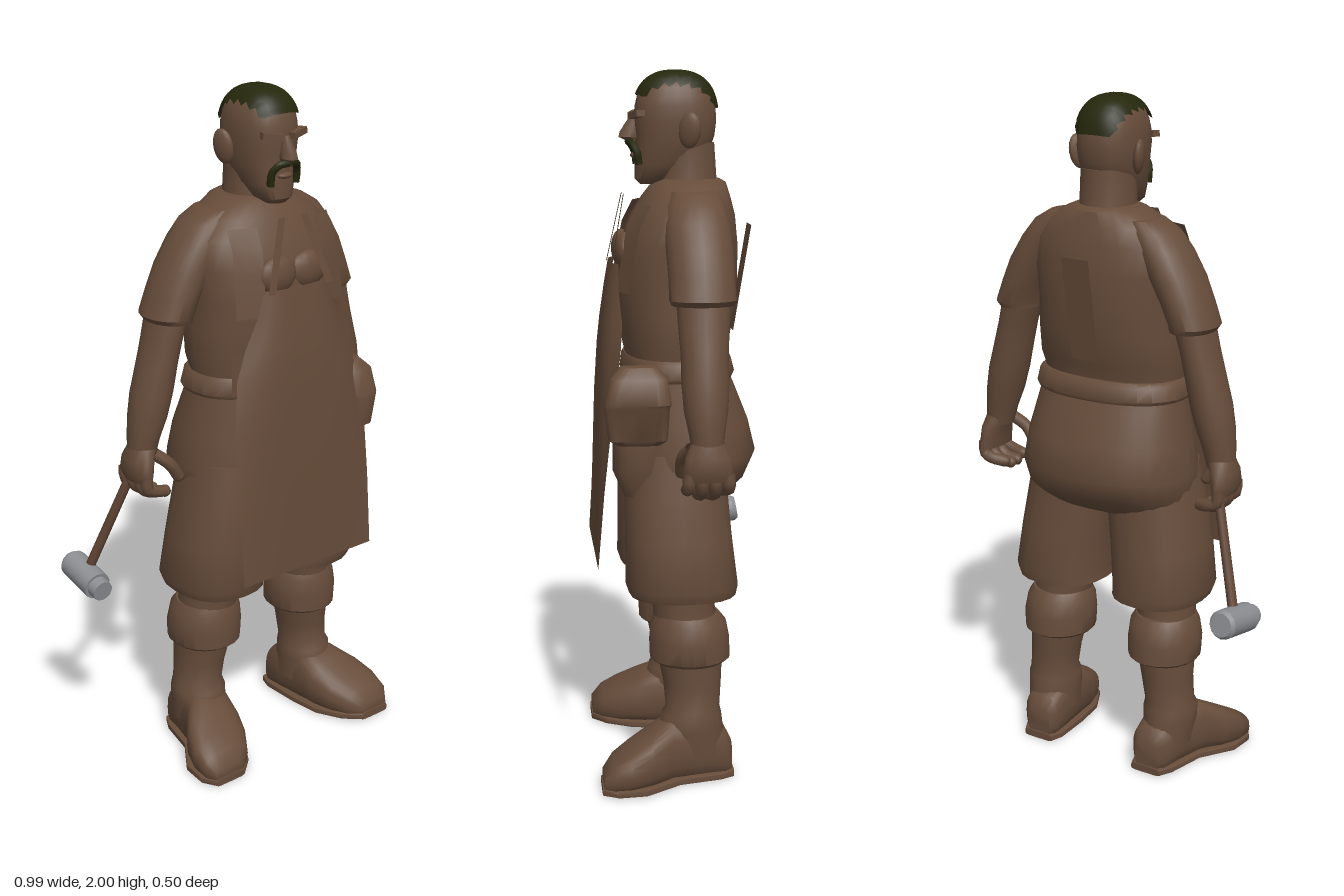
import * as THREE from 'three';
import { toCreasedNormals } from 'three/addons/utils/BufferGeometryUtils.js';

const material = (name, color) => {
  const m = new THREE.MeshStandardMaterial({ color, side: THREE.DoubleSide });
  m.name = name;
  return m;
};

export function createModel() {
  const brown = material('brown', 0x664c3a);
  const wood = material('handle wood', 0x5f4332);
  const steel = material('steel', 0x8c8e92);
  const hairColor = material('dark hair', 0x25270c);

  const root = new THREE.Group();
  const body = new THREE.Group();
  body.name = 'figure';
  body.position.x = 0.053;
  root.add(body);

  const add = (name, geometry, mat = brown, parent = body) => {
    const mesh = new THREE.Mesh(geometry, mat);
    mesh.name = name;
    parent.add(mesh);
    return mesh;
  };

  // Stacked cross-sections, bottom to top: [y, centre x, half width, back z, front z]
  const loft = (rings, { n = 20, p = 2, s = 1, crease = 0.75 } = {}) => {
    const pos = [], idx = [];
    const pow = v => Math.sign(v) * Math.abs(v) ** (2 / p);
    rings.forEach(([y, cx, rx, zb, zf]) => {
      for (let j = 0; j < n; j++) {
        const t = (j / n) * Math.PI * 2;
        pos.push(s * cx + rx * pow(Math.cos(t)), y, (zb + zf) / 2 + ((zf - zb) / 2) * pow(Math.sin(t)));
      }
    });
    for (let i = 0; i < rings.length - 1; i++) for (let j = 0; j < n; j++) {
      const a = i * n + j, b = i * n + (j + 1) % n, c = a + n, d = b + n;
      idx.push(a, c, b, b, c, d);
    }
    [0, rings.length - 1].forEach((r, end) => {
      const [y, cx, , zb, zf] = rings[r];
      const k = pos.length / 3;
      pos.push(s * cx, y, (zb + zf) / 2);
      for (let j = 0; j < n; j++) {
        const a = r * n + j, b = r * n + (j + 1) % n;
        if (end) idx.push(a, k, b); else idx.push(a, b, k);
      }
    });
    const g = new THREE.BufferGeometry();
    g.setAttribute('position', new THREE.Float32BufferAttribute(pos, 3));
    g.setIndex(idx);
    return toCreasedNormals(g, crease);
  };

  // Sheet from a rule (u, v in 0..1) -> [x, y, z]
  const sheet = (nu, nv, rule) => {
    const g = new THREE.PlaneGeometry(1, 1, nu, nv), q = g.attributes.position;
    for (let i = 0; i < q.count; i++) q.setXYZ(i, ...rule(q.getX(i) + 0.5, 0.5 - q.getY(i)));
    g.computeVertexNormals();
    return g;
  };

  const V = p => new THREE.Vector3(...p);
  const tube = (pts, r, n = 8) => new THREE.TubeGeometry(new THREE.CatmullRomCurve3(pts.map(V)), 8, r, n);
  const rod = (a, b, r0, r1, n = 14) => {
    const d = V(b).sub(V(a));
    const g = new THREE.CylinderGeometry(r1, r0, d.length(), n);
    g.applyQuaternion(new THREE.Quaternion().setFromUnitVectors(V([0, 1, 0]), d.clone().normalize()));
    return g.translate(...V(a).addScaledVector(d, 0.5).toArray());
  };

  // Shirt, waist and hip cloth
  add('shirt', loft([
    [1.1, 0, 0.215, -0.13, 0.14], [1.2, 0, 0.22, -0.125, 0.15], [1.25, 0, 0.23, -0.145, 0.16],
    [1.34, 0, 0.23, -0.16, 0.17], [1.42, 0, 0.225, -0.168, 0.175], [1.52, 0, 0.235, -0.168, 0.165],
    [1.6, 0, 0.23, -0.16, 0.13], [1.65, 0, 0.185, -0.148, 0.1], [1.69, 0, 0.115, -0.137, 0.07], [1.7, 0, 0.09, -0.12, 0.05],
  ], { n: 28, p: 2.3 }));
  add('hipCloth', loft([
    [0.81, 0, 0.24, -0.13, 0.16], [0.86, 0, 0.265, -0.19, 0.18], [0.93, 0, 0.268, -0.222, 0.185],
    [1.02, 0, 0.255, -0.2, 0.17], [1.12, 0, 0.235, -0.16, 0.16], [1.19, 0, 0.222, -0.13, 0.15],
  ], { n: 28, p: 2.3 }));
  add('belt', loft([
    [1.15, 0, 0.236, -0.155, 0.16], [1.16, 0, 0.242, -0.16, 0.165],
    [1.2, 0, 0.234, -0.15, 0.16], [1.21, 0, 0.224, -0.14, 0.155],
  ], { n: 28, p: 2.3 }));
  add('backStrap', sheet(1, 5, (u, v) => [-0.05 + 0.09 * u, 1.57 - 0.3 * v, -0.207 + 0.05 * v]));
  add('rightWaistFlap', sheet(1, 2, (u, v) => [-0.22 + 0.06 * u, 1.3 - 0.12 * v, 0.16]));

  // Belt pouches
  add('leftPouch', loft([
    [0.985, 0.235, 0.03, 0.07, 0.19], [1.0, 0.235, 0.045, 0.05, 0.215], [1.09, 0.235, 0.052, 0.045, 0.228],
    [1.1, 0.235, 0.058, 0.04, 0.225], [1.17, 0.23, 0.05, 0.05, 0.21], [1.2, 0.225, 0.025, 0.08, 0.18],
  ], { p: 4, n: 20 }));
  add('frontPouch', loft([
    [0.83, 0.17, 0.05, 0.08, 0.17], [0.9, 0.17, 0.08, 0.06, 0.2], [0.99, 0.18, 0.07, 0.06, 0.2],
  ], { p: 3 }));

  // Apron with its two neck straps
  const apronRows = [[1.47, -0.118, 0.112, 0.195, 0.02], [1.4, -0.14, 0.135, 0.207, 0.03], [1.31, -0.18, 0.175, 0.22, 0.05],
    [1.23, -0.215, 0.212, 0.228, 0.05], [1.08, -0.24, 0.24, 0.236, 0.035], [0.85, -0.243, 0.242, 0.242, 0.015], [0.63, -0.243, 0.242, 0.246, 0]];
  add('apron', sheet(12, 6, (u, v) => {
    const [y, a, b, z, bend] = apronRows[Math.round(v * 6)];
    return [a + (b - a) * u, y, z - bend * (2 * u - 1) ** 4];
  }));

  for (const s of [1, -1]) {
    const side = s > 0 ? 'left' : 'right';
    const L = (name, rings, o = {}) => add(side + name, loft(rings, { s, ...o }));
    add(side + 'ApronStrap', sheet(1, 4, (u, v) =>
      [s * (0.04 + 0.065 * v) + 0.026 * (u - 0.5), 1.66 - 0.2 * v, 0.155 + 0.04 * v]));
    add(side + 'VestPanel', sheet(2, 4, (u, v) =>
      [s * (0.1 + 0.08 * u + 0.015 * v), 1.635 - 0.24 * v, 0.12 + 0.06 * Math.sqrt(v) - 0.03 * u]));
    const chest = add(side + 'Pectoral', new THREE.SphereGeometry(1, 14, 10));
    chest.scale.set(0.065, 0.055, 0.03);
    chest.position.set(s * 0.055, 1.5, 0.155);

    // Sleeve and bare arm
    L('Sleeve', [
      [1.375, 0.29, 0.062, -0.125, 0.045], [1.39, 0.295, 0.068, -0.132, 0.052], [1.45, 0.27, 0.072, -0.13, 0.052],
      [1.52, 0.235, 0.078, -0.13, 0.055], [1.59, 0.195, 0.075, -0.125, 0.055], [1.64, 0.16, 0.07, -0.115, 0.045], [1.67, 0.13, 0.05, -0.1, 0.03],
    ]);
    L('Arm', [
      [0.99, 0.387, 0.04, -0.085, 0.0], [1.04, 0.38, 0.047, -0.09, 0.008], [1.1, 0.366, 0.056, -0.1, 0.02],
      [1.17, 0.35, 0.06, -0.105, 0.025], [1.25, 0.33, 0.057, -0.105, 0.025], [1.32, 0.312, 0.053, -0.11, 0.03], [1.42, 0.285, 0.056, -0.115, 0.035],
    ]);
    L('Palm', [
      [0.915, 0.402, 0.025, -0.105, 0.018], [0.94, 0.405, 0.032, -0.112, 0.026],
      [0.98, 0.4, 0.036, -0.105, 0.02], [1.02, 0.385, 0.04, -0.085, 0.002],
    ]);
    for (let i = 0; i < 4; i++) {
      const z = -0.098 + 0.036 * i, tip = 0.85 + 0.012 * Math.abs(i - 1.5);
      const end = [s * 0.345, tip + 0.012, z * 0.85];
      add(side + 'Finger', tube([[s * 0.408, 0.94, z], [s * 0.405, 0.9, z], [s * 0.38, tip + 0.02, z], end], 0.018));
      add(side + 'Fingertip', new THREE.SphereGeometry(0.018, 8, 6).translate(...end));
    }
    add(side + 'Thumb', tube([[s * 0.375, 1.0, 0.0], [s * 0.335, 0.965, 0.02], [s * 0.305, 0.92, 0.02]], 0.018));
    add(side + 'ThumbTip', new THREE.SphereGeometry(0.018, 8, 6).translate(s * 0.305, 0.92, 0.02));

    // Shorts, knee, boot cuff, shaft and shoe
    L('ShortsLeg', [
      [0.54, 0.168, 0.138, -0.15, 0.155], [0.57, 0.175, 0.142, -0.155, 0.165], [0.7, 0.16, 0.142, -0.14, 0.165],
      [0.82, 0.142, 0.14, -0.13, 0.165], [0.95, 0.125, 0.13, -0.12, 0.15],
    ], { p: 2.4 });
    L('Knee', [[0.44, 0.19, 0.088, -0.1, 0.085], [0.52, 0.182, 0.09, -0.085, 0.09], [0.6, 0.175, 0.1, -0.1, 0.1]]);
    L('BootCuff', [
      [0.345, 0.19, 0.098, -0.118, 0.085], [0.355, 0.19, 0.108, -0.132, 0.098], [0.41, 0.19, 0.111, -0.13, 0.1],
      [0.46, 0.188, 0.104, -0.12, 0.095], [0.485, 0.188, 0.09, -0.1, 0.085],
    ]);
    L('BootShaft', [
      [0.08, 0.21, 0.075, -0.12, 0.08], [0.15, 0.213, 0.079, -0.11, 0.075], [0.19, 0.213, 0.08, -0.105, 0.068],
      [0.21, 0.212, 0.073, -0.1, 0.055], [0.28, 0.204, 0.076, -0.105, 0.06], [0.38, 0.194, 0.088, -0.11, 0.08],
    ]);
    add(side + 'Shoe', loft([
      [-0.135, 0.198, 0.04, -0.1, -0.004], [-0.115, 0.2, 0.06, -0.14, 0], [-0.05, 0.207, 0.07, -0.18, 0], [0.04, 0.222, 0.08, -0.19, 0],
      [0.1, 0.247, 0.1, -0.155, 0], [0.16, 0.268, 0.1, -0.12, 0], [0.21, 0.283, 0.082, -0.09, 0], [0.24, 0.292, 0.05, -0.055, -0.004],
    ], { s, p: 2.8 }).rotateX(Math.PI / 2));
    add(side + 'Sole', loft([
      [-0.14, 0.198, 0.05, -0.022, 0], [-0.1, 0.202, 0.068, -0.022, 0], [0.02, 0.217, 0.08, -0.022, 0],
      [0.12, 0.256, 0.108, -0.022, 0], [0.2, 0.28, 0.09, -0.022, 0], [0.244, 0.292, 0.052, -0.022, 0],
    ], { s, p: 6 }).rotateX(Math.PI / 2));

    // Ear, brow and one half of the moustache
    const ear = add(side + 'Ear', new THREE.SphereGeometry(1, 12, 10));
    ear.scale.set(0.016, 0.05, 0.032);
    ear.position.set(s * 0.1, 1.835, -0.025);
    ear.rotation.set(-0.15, s * -0.35, s * -0.15);
    const brow = add(side + 'Brow', new THREE.BoxGeometry(0.062, 0.018, 0.025));
    brow.position.set(s * 0.045, 1.877, 0.117);
    brow.rotation.set(0, s * 0.3, s * 0.12);
    add(side + 'Moustache', tube([[s * 0.004, 1.803, 0.137], [s * 0.03, 1.798, 0.13], [s * 0.045, 1.775, 0.117], [s * 0.045, 1.74, 0.112]], 0.011), hairColor);
  }

  // Neck and head
  add('neck', loft([[1.6, 0, 0.1, -0.13, 0.08], [1.7, 0, 0.08, -0.112, 0.06], [1.8, 0, 0.078, -0.105, 0.06]]));
  const dome = [0, 0.3, 0.5, 0.68, 0.82, 0.92, 0.98].map(t => {
    const f = (1 - t ** 2.5) ** 0.4;
    return [1.86 + 0.134 * t, 0, 0.092 * f, 0.006 - 0.116 * f, 0.006 + 0.116 * f];
  });
  add('head', loft([
    [1.685, 0, 0.03, 0.05, 0.105], [1.7, 0, 0.05, 0.01, 0.12], [1.74, 0, 0.07, -0.06, 0.12],
    [1.79, 0, 0.084, -0.095, 0.118], [1.82, 0, 0.088, -0.105, 0.118], ...dome,
  ], { n: 24, p: 2.4 }));
  add('nose', loft([
    [1.805, 0, 0.014, 0.1, 0.145], [1.815, 0, 0.022, 0.1, 0.166], [1.83, 0, 0.019, 0.1, 0.163], [1.875, 0, 0.011, 0.1, 0.132],
  ], { n: 10 }));
  const lip = add('lowerLip', new THREE.SphereGeometry(1, 10, 8));
  lip.scale.set(0.026, 0.009, 0.014);
  lip.position.set(0, 1.765, 0.119);

  // Cropped hair: a ragged strip over the crown
  add('hair', sheet(10, 28, (u, v) => {
    const a = 0.98 - 2.25 * v;
    const k = Math.round(v * 28);
    const w = (0.62 + 0.12 * ((k * 7) % 4) / 3) * (0.62 + 0.38 * Math.sin(Math.PI * (0.12 + 0.8 * v)));
    const b = (2 * u - 1) * w;
    const d = [Math.sin(b), Math.cos(b) * Math.cos(a), Math.cos(b) * Math.sin(a)];
    const ax = [0.099, 0.14, 0.122];
    const r = d.reduce((t, c, i) => t + Math.abs(c / ax[i]) ** 2.5, 0) ** -0.4;
    return [d[0] * r, 1.86 + d[1] * r, 0.006 + d[2] * r];
  }), hairColor);

  // Hammer held in the right hand
  const hammer = new THREE.Group();
  hammer.name = 'hammer';
  root.add(hammer);
  add('hammerHandle', rod([-0.325, 0.985, -0.06], [-0.455, 0.595, -0.168], 0.014, 0.015, 10), wood, hammer);
  add('hammerHead', rod([-0.455, 0.606, -0.235], [-0.459, 0.582, -0.105], 0.042, 0.042), steel, hammer);
  add('hammerBackFace', rod([-0.4545, 0.608, -0.246], [-0.455, 0.606, -0.235], 0.034, 0.042), steel, hammer);
  add('hammerFrontFace', rod([-0.459, 0.582, -0.105], [-0.46, 0.577, -0.075], 0.033, 0.031), steel, hammer);

  return root;
}
